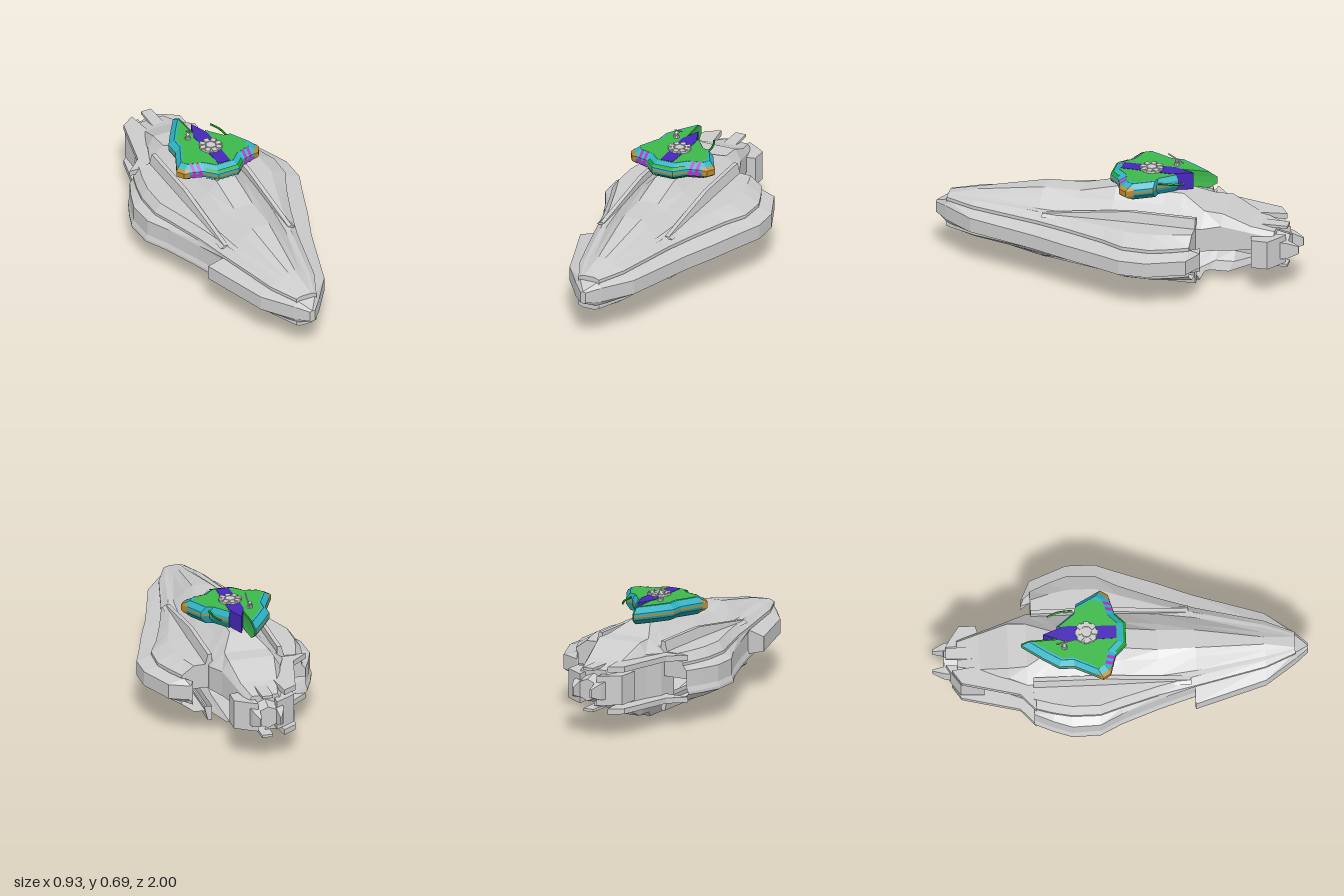
import * as THREE from 'three';

const CX = -0.04, MID = 0.26; // hull centre line and waterline
const paint = (color) => new THREE.MeshStandardMaterial({ color, flatShading: true, side: THREE.DoubleSide });
const GREY = paint(0xcccccc), TEAL = paint(0x2fb3c4), DARK_TEAL = paint(0x1f8f9c), GREEN = paint(0x3db84a),
  PURPLE = paint(0x4527b8), MAGENTA = paint(0xb82fc4), GOLD = paint(0xb88a2f), LIME = paint(0x14a814);

// Surface through rows of [x, y, z] points
function loft(rows) {
  const pos = [];
  for (let i = 0; i + 1 < rows.length; i++) {
    for (let j = 0; j + 1 < rows[i].length; j++) {
      const a = rows[i][j], b = rows[i][j + 1], c = rows[i + 1][j + 1], d = rows[i + 1][j];
      pos.push(...a, ...b, ...c, ...a, ...c, ...d);
    }
  }
  const g = new THREE.BufferGeometry();
  g.setAttribute('position', new THREE.Float32BufferAttribute(pos, 3));
  g.computeVertexNormals();
  return g;
}

function add(parent, name, geometry, material = GREY) {
  const m = new THREE.Mesh(geometry, material);
  m.name = name;
  parent.add(m);
  return m;
}

// Flat plate in plan: points are [x from centre line, z]
function plate(points, y0, y1) {
  const s = new THREE.Shape(points.map(([x, z]) => new THREE.Vector2(CX + x, -z)));
  return new THREE.ExtrudeGeometry(s, { depth: y1 - y0, bevelEnabled: false }).rotateX(-Math.PI / 2).translate(0, y0, 0);
}

// One quarter of a hull layer; sections are [z, [[halfWidth, y], ...]]
function quarter(sections, sx, sy, capRear = true) {
  const row = ([z, pts]) => pts.map(([x, y]) => [CX + sx * x, MID + sy * (y - MID), z]);
  const flat = ([z, pts]) => row([z, pts.map(([x]) => [x, MID])]);
  const rows = [flat(sections[0]), ...sections.map(row)];
  if (capRear) rows.push(flat(sections[sections.length - 1]));
  return loft(rows);
}

// z, ridge half width and y, shoulder half width and y, deck root, deck crease and y, deck edge
const HULL = [
  [0.93, 0.03, 0.355, 0.035, 0.353, 0.045, 0.05, 0.348, 0.06],
  [0.77, 0.02, 0.395, 0.05, 0.38, 0.08, 0.1, 0.365, 0.13],
  [0.4, 0.05, 0.465, 0.09, 0.435, 0.15, 0.18, 0.38, 0.22],
  [0.2, 0.055, 0.47, 0.1, 0.445, 0.175, 0.23, 0.385, 0.285],
  [0, 0.055, 0.52, 0.11, 0.467, 0.195, 0.29, 0.39, 0.36],
  [-0.12, 0.055, 0.52, 0.11, 0.467, 0.2, 0.33, 0.393, 0.42],
  [-0.27, 0.055, 0.52, 0.11, 0.467, 0.2, 0.33, 0.393, 0.425],
  [-0.37, 0.055, 0.52, 0.12, 0.465, 0.2, 0.31, 0.393, 0.39],
  [-0.47, 0.1, 0.475, 0.14, 0.44, 0.2, 0.28, 0.393, 0.345],
];
// z, inner and outer half width of the side band
const BAND = [
  [1, 0, 0.015], [0.93, 0.05, 0.075], [0.77, 0.12, 0.19], [0.39, 0.21, 0.31], [0.2, 0.275, 0.385],
  [0, 0.35, 0.455], [-0.12, 0.41, 0.5], [-0.27, 0.415, 0.5], [-0.47, 0.335, 0.42], [-0.52, 0.3, 0.31],
];
// Plan of the small craft, [x from centre line, z]
const CRAFT = [
  [-0.06, 0.03], [0.06, 0.03], [0.12, -0.03], [0.22, -0.06], [0.245, -0.1], [0.175, -0.23], [0.13, -0.24],
  [0.05, -0.34], [0.035, -0.3], [-0.035, -0.3], [-0.045, -0.53], [-0.12, -0.42], [-0.175, -0.33],
  [-0.175, -0.25], [-0.245, -0.1], [-0.22, -0.06], [-0.12, -0.03],
];

function buildHull() {
  const hull = new THREE.Group();
  hull.name = 'hull';
  for (const sx of [1, -1]) for (const sy of [1, -1]) {
    // Ridge and deck; the upper right deck is cut short, the underside is open at the rear
    const cut = (z, d, e) => (sx < 0 && sy > 0 && z < 0.39 ? Math.min(e, d + 0.035) : e);
    add(hull, 'deck', quarter(HULL.map(([z, a, ya, b, yb, c, d, yd, e]) =>
      [z, [[0, ya], [a, ya], [b, yb], [c, yd + 0.003], [d, yd], [cut(z, d, e), 0.345], [cut(z, d, e), 0.33]]]), sx, sy, sy > 0));
    add(hull, 'flank', quarter(HULL.map(([z, , , , , , d, , e]) =>
      [z, [[cut(z, d, e), 0.33], [e - 0.01, 0.305], [e - 0.01, MID]]]), sx, sy, sy > 0));
    // Bevelled side band; only the bow part remains on the right
    const span = sx > 0 ? BAND : BAND.slice(0, 4);
    add(hull, 'sideBand', quarter(span.map(([z, e, w]) =>
      [z, [[z > 0.5 ? 0 : e, z === 1 ? 0.295 : 0.328], [e, z === 1 ? 0.295 : 0.328], [w, z === 1 ? 0.29 : 0.3], [w, MID]]]), sx, sy));
    // Deck rails
    const side = (x) => [[0.37, 0.37], [0.37, 0.385], [-0.1, 0.45], [-0.47, 0.45], [-0.47, 0.37]]
      .map(([z, y]) => [CX + sx * x, MID + sy * (y - MID), z]);
    const foot = (x) => side(x).map(([px, , z]) => [px, MID + sy * 0.11, z]);
    add(hull, 'deckRail', loft([foot(0.18), side(0.18), side(0.203), foot(0.223)]));
    // Sloping tail of the ridge with its side wall, missing at the lower left
    if (sx < 0 || sy > 0) add(hull, 'tail', quarter([
      [-0.37, [[0, 0.52], [0.055, 0.52], [0.2, 0.39], [0.2, MID]]],
      [-0.5, [[0, 0.462], [0.12, 0.462], [0.2, 0.39], [0.2, MID]]],
      [-0.6, [[0, 0.46], [0.125, 0.46], [0.16, 0.4], [0.16, MID]]],
      [-0.75, [[0, 0.39], [0.1, 0.39], [0.12, 0.36], [0.12, MID]]],
      [-0.87, [[0, 0.36], [0.07, 0.36], [0.09, 0.33], [0.09, MID]]],
    ], sx, sy));
  }
  return hull;
}

function buildStern() {
  const stern = new THREE.Group();
  stern.name = 'stern';
  const at = (y0, y1, sy) => (sy > 0 ? [y0, y1] : [2 * MID - y1, 2 * MID - y0]);
  for (const sy of [1, -1]) {
    // Large armour plates on the right, a short one on the left
    add(stern, 'sternPlate', plate([[-0.15, -0.45], [-0.34, -0.46], [-0.25, -0.54], [-0.175, -0.85], [-0.1, -0.9], [-0.08, -0.75]], ...at(0.36, 0.39, sy)));
    if (sy > 0) add(stern, 'sternPlate', plate([[0.1, -0.45], [0.2, -0.46], [0.12, -0.7], [0.08, -0.7]], 0.36, 0.39));
    // Thin fins over the engine
    add(stern, 'tailFin', plate([[-0.035, -0.75], [0.035, -0.75], [0.03, -0.93], [-0.03, -0.93]], ...at(0.365, 0.38, sy)));
  }
  // Side blocks and engine core
  add(stern, 'sideBlock', plate([[0.06, -0.74], [0.165, -0.765], [0.165, -0.855], [0.1, -0.9], [0.05, -0.93]], 0.18, 0.34));
  add(stern, 'sideBlock', plate([[-0.06, -0.74], [-0.17, -0.73], [-0.165, -0.855], [-0.1, -0.9], [-0.05, -0.93]], 0.18, 0.34));
  add(stern, 'engine', new THREE.CylinderGeometry(0.06, 0.09, 0.12, 8).rotateX(-Math.PI / 2)).position.set(CX, MID, -0.88);
  // Tapered rear claws: z, inner and outer x, half height
  const CLAW = [[-0.88, 0.05, 0.095, 0.05], [-0.94, 0.045, 0.085, 0.045], [-1, 0.05, 0.06, 0.022], [-1, 0.05, 0.06, 0]];
  for (const s of [1, -1]) {
    add(stern, 'claw', loft(CLAW.map(([z, x0, x1, h]) =>
      [[x0, h], [x1, h], [x1, -h], [x0, -h], [x0, h]].map(([x, y]) => [CX + s * x, MID + y, z]))));
  }
  return stern;
}

function buildCraft() {
  const craft = new THREE.Group();
  craft.name = 'smallCraft';
  const PIVOT = -0.26, TOP = 0.84; // insets shrink towards the pivot
  const inset = (pts, k) => pts.map(([x, z]) => [x * k, PIVOT + (z - PIVOT) * k]);
  const ring = (pts, k, y) => inset(pts, k).map(([x, z]) => [CX + x, y, z]);
  const rim = (name, pts, levels, mat) => add(craft, name, loft(levels.map(([k, y]) => ring(pts, k, y))), mat);
  const loop = [...CRAFT, CRAFT[0]];

  // Faceted rim and flat covers
  rim('upperRim', loop, [[TOP, 0.618], [1, 0.59], [1, 0.577]], TEAL);
  rim('middleRim', loop, [[1, 0.577], [1, 0.567]], GOLD);
  rim('lowerRim', loop, [[1, 0.567], [1, 0.555], [TOP, 0.527]], DARK_TEAL);
  rim('tailInnerWall', [[-0.028, -0.32], [-0.038, -0.53]], [[TOP, 0.619], [1, 0.59], [1, 0.555], [TOP, 0.526]], GREEN);
  add(craft, 'deckCover', plate(inset(CRAFT, TOP), 0.612, 0.619), GREEN);
  add(craft, 'bellyCover', plate(inset(CRAFT, TOP), 0.526, 0.533), GREEN);

  // Teal border line on the flanks
  rim('borderLine', CRAFT.slice(10, 15), [[TOP, 0.62], [0.78, 0.621]], TEAL);
  rim('borderLine', CRAFT.slice(3, 6), [[TOP, 0.62], [0.78, 0.621]], TEAL);

  // Lime bars wrapped around the bow
  const bow = [[-0.11, -0.02], [-0.06, 0.03], [0.06, 0.03], [0.11, -0.02]];
  rim('bowBar', bow, [[0.95, 0.607], [0.995, 0.596]], LIME);
  rim('bowBar', bow, [[0.995, 0.55], [0.95, 0.539]], LIME);

  for (const s of [1, -1]) {
    // Magenta stripes running straight up the front quarters
    for (const x of [0.128, 0.16]) {
      const edge = (k) => [x / k, (x + 0.016) / k].map((v) => [s * v, -0.03 - (v - 0.12) * 0.3]);
      add(craft, 'rimStripe', loft([[0.85, 0.62], [1.008, 0.592], [1.008, 0.554], [0.85, 0.525]]
        .map(([k, y]) => ring(edge(k), k, y))), MAGENTA);
    }
    rim('rimStripe', [[s * 0.12, -0.03], [s * 0.19, -0.051]], [[1.012, 0.579], [1.012, 0.565]], MAGENTA);
    // Gold corner guards
    rim('cornerGuard', [[s * 0.195, -0.0525], [s * 0.22, -0.06], [s * 0.245, -0.1], [s * 0.225, -0.137]],
      [[0.95, 0.602], [1.012, 0.588], [1.012, 0.557], [0.95, 0.543]], GOLD);
  }

  // Purple spine ending in a spike
  add(craft, 'spine', plate([[-0.035, -0.02], [0.035, -0.02], [0.042, -0.3], [0, -0.41], [-0.042, -0.3]], 0.525, 0.621), PURPLE);

  // Loose curved trim strip
  const curve = new THREE.CatmullRomCurve3([[0.1, -0.385], [0.122, -0.33], [0.13, -0.25]].map(([x, z]) => new THREE.Vector3(x + CX + 0.005, 0.6, z)));
  add(craft, 'trimStrip', new THREE.TubeGeometry(curve, 8, 0.006, 5), LIME);

  // Round hatch with eight petals
  const hatch = new THREE.Group();
  hatch.name = 'hatch';
  hatch.position.set(CX, 0.622, -0.18);
  add(hatch, 'hatchRing', new THREE.CylinderGeometry(0.055, 0.06, 0.008, 16));
  add(hatch, 'hatchHub', new THREE.CylinderGeometry(0.026, 0.03, 0.02, 16));
  for (let i = 0; i < 8; i++) {
    const petal = add(hatch, 'hatchPetal', new THREE.BoxGeometry(0.026, 0.014, 0.03));
    const t = (i * Math.PI) / 4;
    petal.position.set(Math.sin(t) * 0.046, 0.003, Math.cos(t) * 0.046);
    petal.rotation.y = t;
  }
  craft.add(hatch);

  // Swivel mount with a slanted barrel
  const mount = new THREE.Group();
  mount.name = 'deckMount';
  mount.position.set(-0.115, 0.62, -0.3);
  add(mount, 'mountBase', new THREE.CylinderGeometry(0.012, 0.016, 0.012, 8)).position.y = 0.006;
  add(mount, 'mountBody', new THREE.SphereGeometry(0.012, 8, 6)).position.y = 0.024;
  const rod = (a, b, r) => add(mount, 'mountRod', new THREE.TubeGeometry(
    new THREE.LineCurve3(new THREE.Vector3(...a), new THREE.Vector3(...b)), 1, r, 6));
  rod([0.012, 0.018, -0.04], [0.012, 0.065, 0.045], 0.004);
  rod([-0.015, 0.01, 0.01], [0.012, 0.03, -0.01], 0.005);
  craft.add(mount);
  return craft;
}

export function createModel() {
  const model = new THREE.Group();
  model.name = 'ship';
  model.add(buildHull(), buildStern(), buildCraft());
  return model;
}
